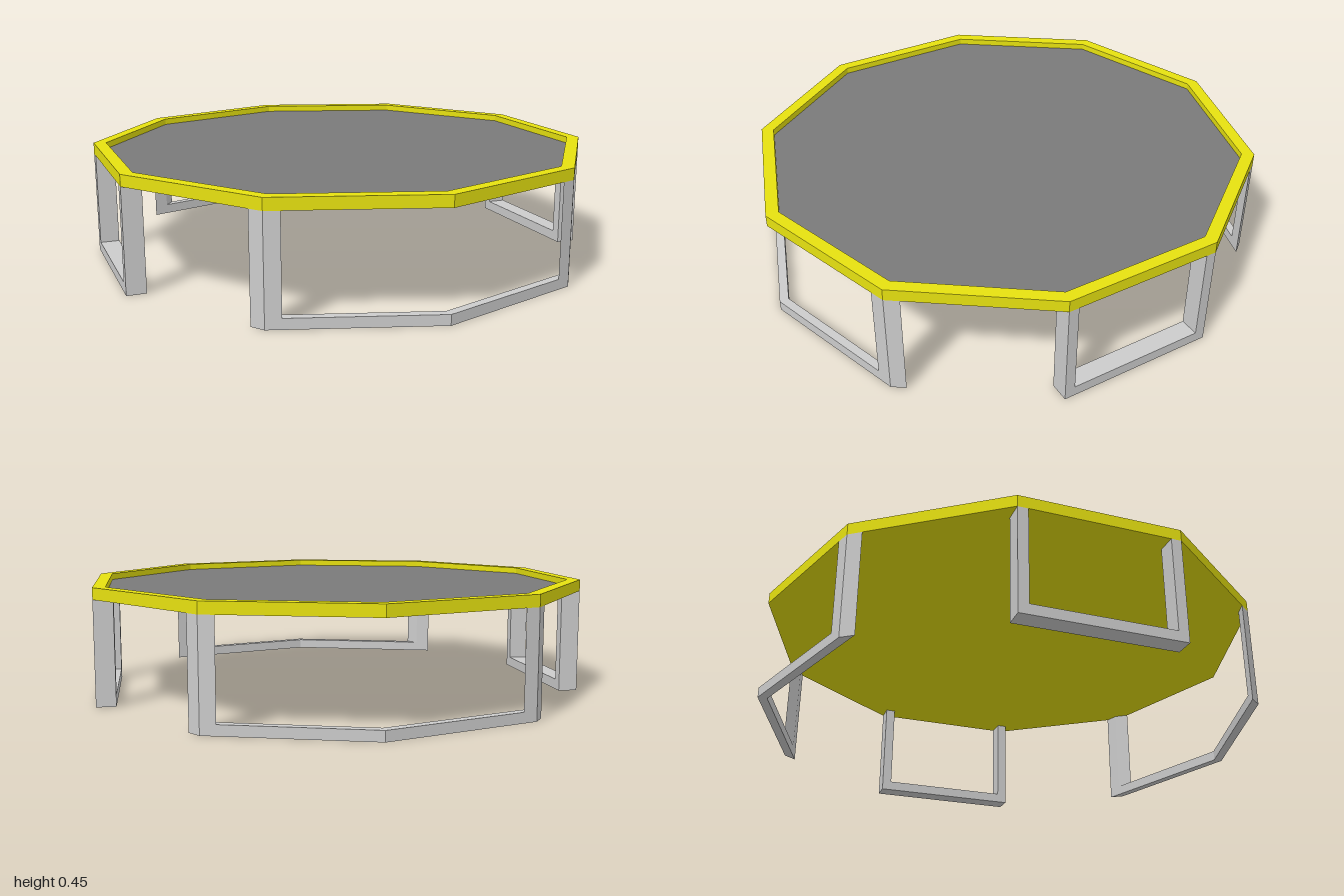
import * as THREE from 'three';

const TOP = 0.45, UNDERSIDE = 0.405, PANEL_TOP = 0.425;
const RIM_INNER = 0.95;
const RAIL_HEIGHT = 0.04;
const POST_SIDE = 0.058;

// Corner k of a ten-sided outline, counted from +z towards +x
const corner = (k, r = 1) =>
  new THREE.Vector2(r * Math.sin(k * Math.PI / 5), r * Math.cos(k * Math.PI / 5));
const decagon = r => Array.from({ length: 10 }, (_, k) => corner(k, r));

// Upright prism over a floor outline given as (x, z) points
function prism(name, outline, y0, y1, material, hole) {
  const flip = pts => pts.map(p => new THREE.Vector2(p.x, -p.y));
  const shape = new THREE.Shape(flip(outline));
  if (hole) shape.holes.push(new THREE.Path(flip(hole)));
  const geometry = new THREE.ExtrudeGeometry(shape, { depth: y1 - y0, bevelEnabled: false });
  geometry.rotateX(-Math.PI / 2).translate(0, y0, 0);
  const mesh = new THREE.Mesh(geometry, material);
  mesh.name = name;
  return mesh;
}

function box(name, w, h, d, x, y, z, material) {
  const mesh = new THREE.Mesh(new THREE.BoxGeometry(w, h, d), material);
  mesh.position.set(x, y, z);
  mesh.name = name;
  return mesh;
}

export function createModel() {
  const model = new THREE.Group();
  model.name = 'lowTable';
  const yellow = new THREE.MeshStandardMaterial({ color: 0xe6e110, flatShading: true });
  const dark = new THREE.MeshStandardMaterial({ color: 0x7a7a7a, flatShading: true });
  const grey = new THREE.MeshStandardMaterial({ color: 0xcccccc, flatShading: true });

  // Tray: base, raised rim and inset panel
  const panelBottom = PANEL_TOP - 0.005;
  model.add(prism('trayBase', decagon(1), UNDERSIDE, panelBottom, yellow));
  model.add(prism('trayRim', decagon(1), panelBottom, TOP, yellow, decagon(RIM_INNER)));
  model.add(prism('tablePanel', decagon(RIM_INNER), panelBottom, PANEL_TOP, dark));

  // Front and back frames: bent floor rail with rhombic corner posts
  const railInner = 1 - 2 * POST_SIDE * Math.cos(Math.PI * 0.4);
  for (const [name, mid] of [['frontFrame', 0], ['backFrame', 5]]) {
    const frame = new THREE.Group();
    frame.name = name;
    const bend = [mid - 1, mid, mid + 1];
    const outline = [
      ...bend.map(k => corner(k)),
      ...bend.reverse().map(k => corner(k, railInner)),
    ];
    frame.add(prism('floorRail', outline, 0, RAIL_HEIGHT, grey));
    for (const k of [mid - 1, mid + 1]) {
      const v = corner(k);
      const along = n => v.clone().add(
        corner(n).sub(v).normalize().multiplyScalar(POST_SIDE));
      const rhombus = [v, along(k + 1), corner(k, railInner), along(k - 1)];
      frame.add(prism('post', rhombus, 0, UNDERSIDE, grey));
    }
    model.add(frame);
  }

  // Side frames: straight rail between two rectangular posts
  const { x: edgeX, y: halfZ } = corner(2);
  const depth = 0.075, width = 0.04;
  for (const [name, side] of [['leftFrame', 1], ['rightFrame', -1]]) {
    const frame = new THREE.Group();
    frame.name = name;
    const x = side * (edgeX - depth / 2);
    frame.add(box('floorRail', depth, RAIL_HEIGHT, 2 * (halfZ - width),
      x, RAIL_HEIGHT / 2, 0, grey));
    for (const end of [1, -1]) {
      frame.add(box('post', depth, UNDERSIDE, width,
        x, UNDERSIDE / 2, end * (halfZ - width / 2), grey));
    }
    model.add(frame);
  }
  return model;
}
